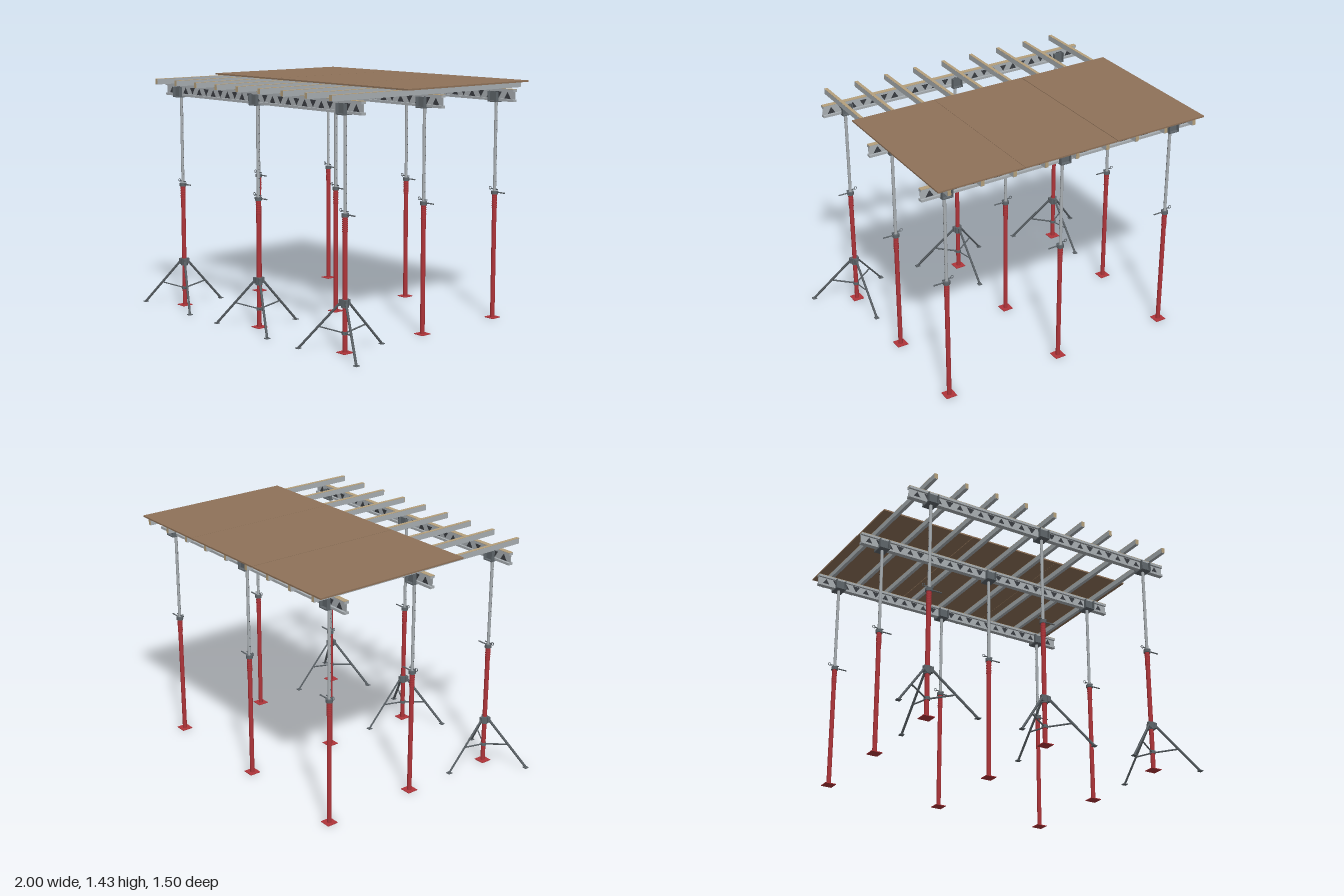
import * as THREE from 'three';

const mat = (name, color, side = THREE.FrontSide) => {
  const m = new THREE.MeshStandardMaterial({ color, side });
  m.name = name;
  return m;
};

export function createModel() {
  const red = mat('red steel', 0xb0353a);
  const alu = mat('aluminium', 0xa9afb3);
  const steel = mat('dark steel', 0x5f666b);
  const dark = mat('dark openings', 0x3a3d42, THREE.DoubleSide);
  const timber = mat('timber strip', 0xb5a07c);
  const ply = mat('plywood', 0x8f7259);

  const add = (parent, name, geo, material, x = 0, y = 0, z = 0) => {
    const m = new THREE.Mesh(geo, material);
    m.name = name;
    m.position.set(x, y, z);
    parent.add(m);
    return m;
  };
  const box = (p, name, material, w, h, d, x, y, z) =>
    add(p, name, new THREE.BoxGeometry(w, h, d), material, x, y, z);
  const group = (parent, name, x = 0, y = 0, z = 0) => {
    const g = new THREE.Group();
    g.name = name;
    g.position.set(x, y, z);
    parent.add(g);
    return g;
  };
  // Square or round bar between two points
  const bar = (p, name, material, a, b, r, sides = 4) => {
    const A = new THREE.Vector3(...a), B = new THREE.Vector3(...b);
    const dir = B.clone().sub(A);
    const m = add(p, name, new THREE.CylinderGeometry(r, r, dir.length(), sides), material);
    m.position.copy(A).add(B).multiplyScalar(0.5);
    m.quaternion.setFromUnitVectors(new THREE.Vector3(0, 1, 0), dir.normalize());
    return m;
  };

  const model = new THREE.Group();
  model.name = 'slabFormwork';

  // Outer tube profile with a threaded upper end
  const profile = [[0, 0.004], [0.0135, 0.004], [0.0135, 0.67]];
  for (let i = 0; i < 8; i++) {
    const y = 0.67 + i * 0.011;
    profile.push([0.0155, y + 0.002], [0.0155, y + 0.006], [0.014, y + 0.008]);
  }
  profile.push([0.014, 0.76], [0.009, 0.76]);
  const outerGeo = new THREE.LatheGeometry(profile.map(([x, y]) => new THREE.Vector2(x, y)), 16);
  const innerGeo = new THREE.CylinderGeometry(0.0095, 0.0095, 0.57, 16);
  const holeGeo = new THREE.CylinderGeometry(0.003, 0.003, 0.0196, 8).rotateZ(Math.PI / 2);
  const collarGeo = new THREE.CylinderGeometry(0.021, 0.021, 0.02, 12);
  const ringGeo = new THREE.TorusGeometry(0.009, 0.002, 6, 14);

  function addProp(x, z) {
    const p = group(model, 'prop', x, 0, z);
    box(p, 'basePlate', red, 0.068, 0.004, 0.068, 0, 0.002, 0);
    add(p, 'outerTube', outerGeo, red);
    add(p, 'innerTube', innerGeo, alu, 0, 1.03, 0);
    for (let i = 0; i < 9; i++) add(p, 'pinHole', holeGeo, dark, 0, 0.83 + i * 0.052, 0);
    // Adjusting nut, its handle and the locking pin
    add(p, 'collarNut', collarGeo, steel, 0, 0.764, 0);
    bar(p, 'nutHandle', steel, [0.015, 0.768, 0], [0.08, 0.768, 0], 0.004, 8);
    bar(p, 'lockingPin', steel, [-0.03, 0.785, 0], [0.026, 0.785, 0], 0.0035, 8);
    add(p, 'pinRing', ringGeo, steel, -0.035, 0.788, 0);
    // Fork head: base plate with two upright channels
    const head = group(p, 'forkHead');
    box(head, 'headPlate', steel, 0.066, 0.006, 0.082, 0, 1.31, 0);
    for (const s of [-1, 1]) {
      box(head, 'forkPlate', steel, 0.066, 0.056, 0.005, 0, 1.341, s * 0.02);
      for (const t of [-1, 1])
        box(head, 'forkFlange', steel, 0.005, 0.056, 0.02, t * 0.0305, 1.341, s * 0.031);
    }
    return p;
  }

  // Three-legged stand around the front props
  function addTripod(p) {
    const t = group(p, 'tripod');
    add(t, 'tripodCollar', new THREE.CylinderGeometry(0.021, 0.021, 0.045, 12), steel, 0, 0.277, 0);
    add(t, 'braceCollar', new THREE.CylinderGeometry(0.018, 0.018, 0.018, 12), steel, 0, 0.112, 0);
    for (const [fx, fz] of [[-0.237, 0.133], [0.237, 0.133], [0, -0.278]]) {
      const k = 1 / Math.hypot(fx, fz), ux = fx * k, uz = fz * k;
      box(t, 'legHinge', steel, 0.02, 0.035, 0.02, ux * 0.022, 0.28, uz * 0.022);
      bar(t, 'leg', steel, [ux * 0.022, 0.285, uz * 0.022], [fx, 0.004, fz], 0.0075);
      bar(t, 'brace', steel, [ux * 0.012, 0.112, uz * 0.012], [fx * 0.54, 0.135, fz * 0.54], 0.005);
      box(t, 'foot', steel, 0.026, 0.005, 0.026, fx, 0.0025, fz);
    }
  }

  const rows = [0.6, 0, -0.6];
  for (const z of rows) for (const x of [-0.75, 0, 0.75]) {
    const p = addProp(x, z);
    if (z > 0.5) addTripod(p);
  }

  // Main beams: flanges, thin web and rows of triangular openings
  const tri = new THREE.Shape();
  tri.moveTo(-0.025, -0.02);
  tri.lineTo(0.025, -0.02);
  tri.lineTo(0, 0.02);
  tri.closePath();
  const triGeo = new THREE.ShapeGeometry(tri);
  for (const z of rows) {
    const b = group(model, 'mainBeam', 0, 0, z);
    box(b, 'topFlange', alu, 1.79, 0.014, 0.03, 0, 1.379, 0);
    box(b, 'nailingStrip', timber, 1.79, 0.002, 0.03, 0, 1.387, 0);
    box(b, 'bottomFlange', alu, 1.79, 0.014, 0.03, 0, 1.32, 0);
    box(b, 'web', alu, 1.79, 0.046, 0.004, 0, 1.349, 0);
    for (let i = -12; i <= 12; i++) for (const s of [-1, 1]) {
      const m = add(b, 'webOpening', triGeo, dark, i * 0.07, 1.349, s * 0.0028);
      if (i % 2) m.rotation.z = Math.PI;
    }
  }

  // Cross joists with a timber core showing at the top and ends
  for (let i = -4; i <= 4; i++) {
    const j = group(model, 'joist', i * 0.2, 0, 0);
    box(j, 'joistBody', alu, 0.021, 0.032, 1.494, 0, 1.404, 0);
    box(j, 'joistCore', timber, 0.0206, 0.0315, 1.497, 0, 1.40625, 0);
  }

  // Deck panels
  for (const [a, b] of [[-0.87, -0.267], [-0.263, 0.338], [0.34, 0.868]])
    box(model, 'deckPanel', ply, b - a, 0.009, 1, (a + b) / 2, 1.4268, -0.25);

  return model;
}
